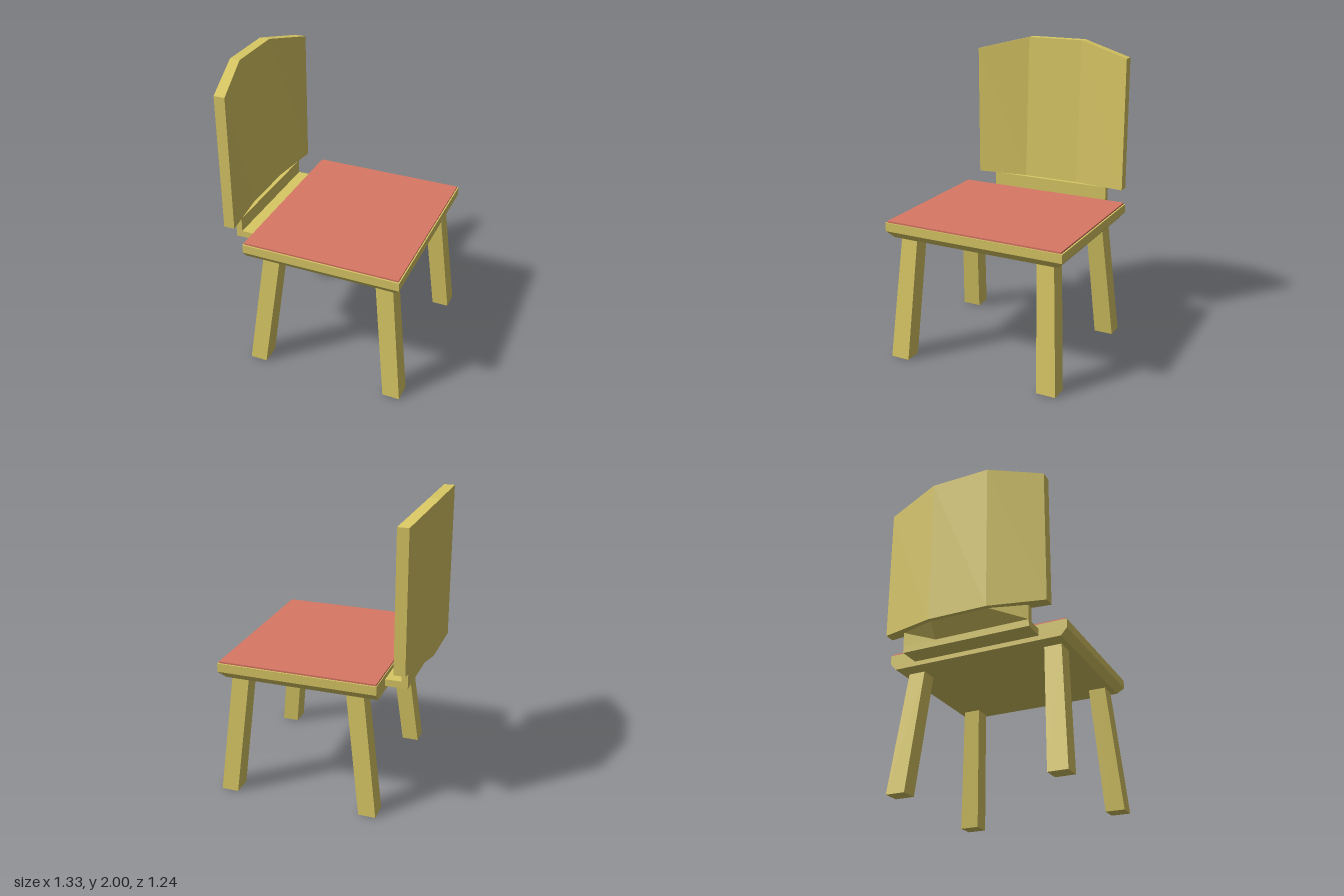
import * as THREE from 'three';

const wood = new THREE.MeshStandardMaterial({ name: 'yellow wood', color: 0xd8c764 });
const red = new THREE.MeshStandardMaterial({ name: 'red cushion', color: 0xd97764 });

// Flat-shaded solid skinned over rings of corners, counter-clockwise seen from the last ring
function loft(rings) {
  const pos = [];
  const tri = (...points) => points.forEach((p) => pos.push(...p));
  const n = rings[0].length;
  for (let i = 0; i < rings.length - 1; i++) {
    for (let j = 0; j < n; j++) {
      const k = (j + 1) % n;
      const [a, b, c, d] = [rings[i][j], rings[i][k], rings[i + 1][k], rings[i + 1][j]];
      tri(a, b, c);
      tri(a, c, d);
    }
  }
  const first = rings[0], last = rings[rings.length - 1];
  for (let j = 1; j < n - 1; j++) {
    tri(first[0], first[j + 1], first[j]);
    tri(last[0], last[j], last[j + 1]);
  }
  const geo = new THREE.BufferGeometry();
  geo.setAttribute('position', new THREE.Float32BufferAttribute(pos, 3));
  geo.computeVertexNormals();
  return geo;
}

// Horizontal rectangle at height y
const rect = (y, x0, x1, z0, z1) => [[x1, y, z1], [x1, y, z0], [x0, y, z0], [x0, y, z1]];

export function createModel() {
  const group = new THREE.Group();
  const add = (name, geometry, material = wood) => {
    const mesh = new THREE.Mesh(geometry, material);
    mesh.name = name;
    group.add(mesh);
    return mesh;
  };

  // Seat board, bevelled underneath on the front and sides
  add('seat', loft([
    rect(0.83, -0.42, 0.595, -0.58, 0.58),
    rect(0.877, -0.42, 0.635, -0.62, 0.62),
    rect(0.935, -0.42, 0.635, -0.62, 0.62),
  ]));

  // Thin cushion
  add('cushion', new THREE.BoxGeometry(1.042, 0.012, 1.22), red).position.set(0.106, 0.94, 0);

  // Splayed legs
  for (const side of [-1, 1]) {
    const zs = (a, b) => (side > 0 ? [a, b] : [-b, -a]);
    const leg = (name, bottom, top) => add(name, loft([
      rect(0, ...bottom, ...zs(0.47, 0.6)),
      rect(0.83, ...top, ...zs(0.425, 0.54)),
    ]));
    leg('frontLeg', [0.545, 0.66], [0.455, 0.57]);
    leg('backLeg', [-0.42, -0.305], [-0.315, -0.2]);
  }

  // L-shaped bracket joining seat and backrest
  const profile = new THREE.Shape([
    [-0.565, 0.86], [-0.42, 0.86], [-0.42, 0.905], [-0.523, 0.905], [-0.523, 1], [-0.565, 1],
  ].map(([x, y]) => new THREE.Vector2(x, y)));
  add('bracket', new THREE.ExtrudeGeometry(profile, { depth: 0.87, bevelEnabled: false }))
    .position.z = -0.435;

  // Sloped support behind the bracket
  add('backSupport', loft([[-0.435, -0.567], [-0.2, -0.635], [0.2, -0.635], [0.435, -0.567]]
    .map(([z, x]) => [[-0.565, 0.905, z], [-0.565, 1, z], [x, 1, z]])));

  // Curved backrest made of three panels
  const stations = [
    // z, rear x, front x at the bottom, front x at the top, top height
    [-0.56, -0.58, -0.507, -0.507, 1.91],
    [-0.2, -0.665, -0.55, -0.597, 2],
    [0.2, -0.665, -0.55, -0.597, 2],
    [0.56, -0.58, -0.507, -0.507, 1.91],
  ];
  add('backrest', loft(stations.map(([z, rear, low, high, top]) => [
    [rear, 1, z], [low, 1, z], [high, top, z], [rear, top, z],
  ])));

  return group;
}
